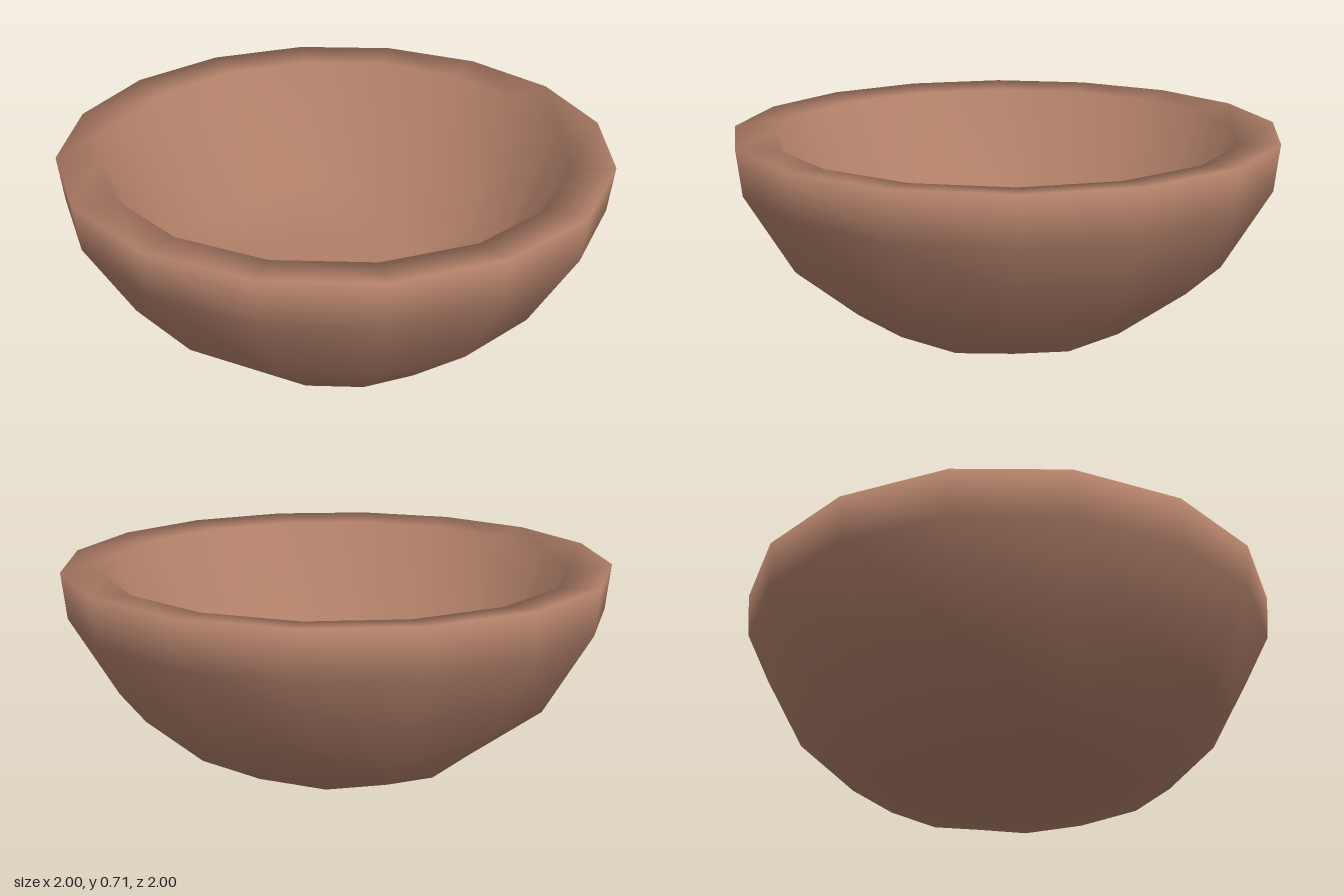
import * as THREE from 'three';
import { mergeVertices } from 'three/addons/utils/BufferGeometryUtils.js';

export function createModel() {
  const group = new THREE.Group();
  group.name = 'bowl';

  // Closed profile [radius, height, squareness, corner lift]:
  // underside, outer wall, rim, straight inner wall, floor
  const profile = [
    [0, 0, 0, 0], [0.27, 0.004, 0.15, 0], [0.545, 0.026, 0.15, 0.035],
    [0.82, 0.248, 0, 0], [0.985, 0.545, 0, 0], [1, 0.712, 0, 0],
    [0.85, 0.694, 0, 0], [0.585, 0.2, 0.15, 0.035],
    [0.29, 0.18, 0.15, 0], [0, 0.175, 0, 0],
  ];
  const geometry = new THREE.LatheGeometry(profile.map(([r, y]) => new THREE.Vector2(r, y)), 16);

  // Push the base and floor rings toward rounded squares with raised corners
  const position = geometry.attributes.position;
  for (let i = 0; i < position.count; i++) {
    const [radius, height, squareness, lift] = profile[i % profile.length];
    const angle = Math.atan2(position.getX(i), position.getZ(i));
    const corner = Math.sin(2 * angle) ** 2;
    const r = radius * (1 + squareness * corner);
    const a = angle + 0.4 * squareness * Math.sin(4 * angle);
    position.setXYZ(i, r * Math.sin(a), height + lift * corner ** 2, r * Math.cos(a));
  }

  // Weld the seam and the centres, then smooth over everything
  geometry.deleteAttribute('normal');
  geometry.deleteAttribute('uv');
  const welded = mergeVertices(geometry);
  welded.computeVertexNormals();

  const shell = new THREE.Mesh(welded, new THREE.MeshStandardMaterial({ color: 0xb07f68 }));
  shell.name = 'bowlShell';
  group.add(shell);
  return group;
}
